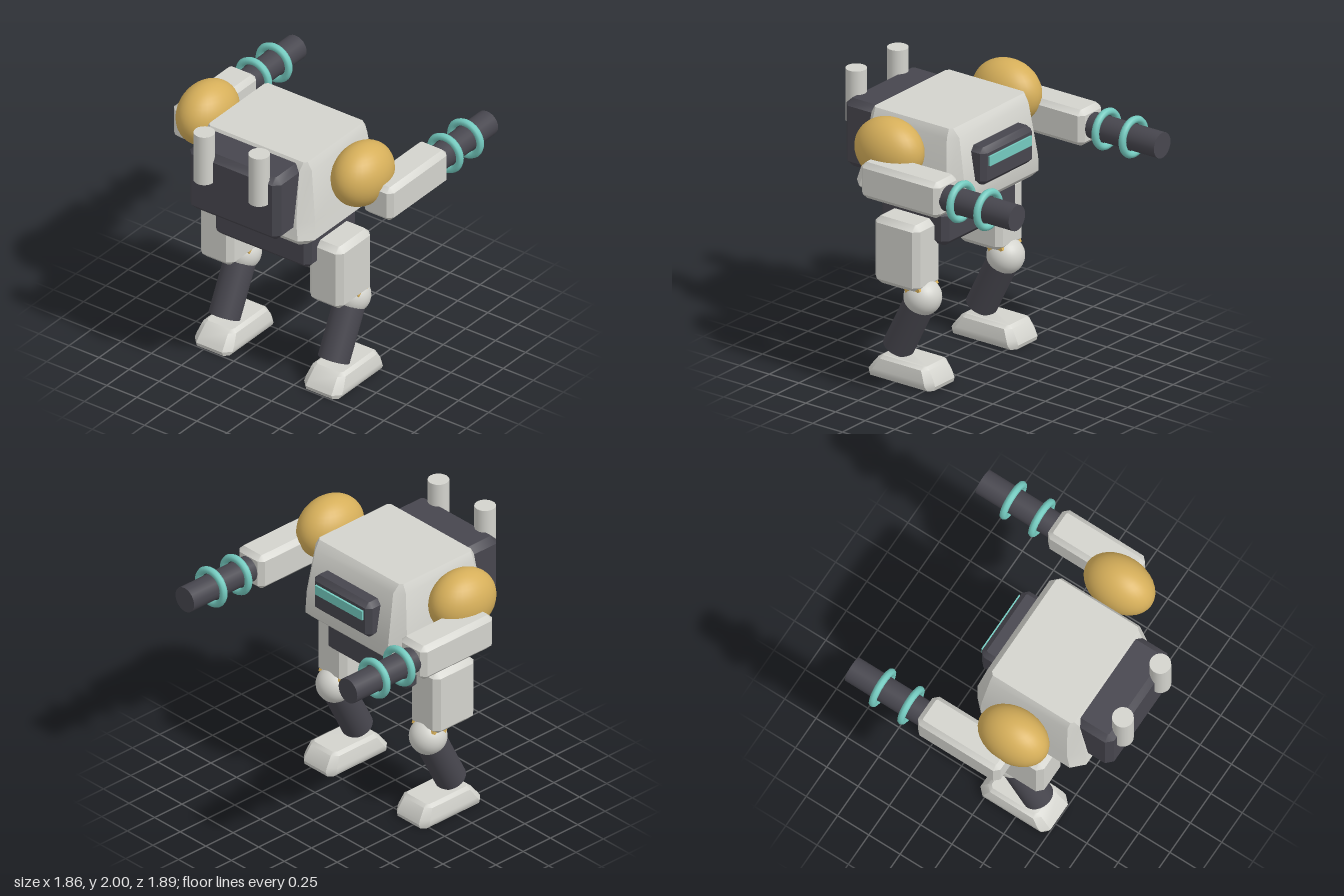
import * as THREE from 'three';
import { toCreasedNormals } from 'three/addons/utils/BufferGeometryUtils.js';

const mat = (name, color) => {
  const m = new THREE.MeshStandardMaterial({ color });
  m.name = name;
  return m;
};

// Stack of eight-sided sections: [y, x0, x1, z0, z1, cornerX, cornerZ]
function loft(rings) {
  const pos = [], idx = [];
  for (const [y, a, b, c, d, kx, kz] of rings) {
    pos.push(b, y, d - kz, b, y, c + kz, b - kx, y, c, a + kx, y, c,
      a, y, c + kz, a, y, d - kz, a + kx, y, d, b - kx, y, d);
  }
  const last = (rings.length - 1) * 8;
  for (let r = 0; r < last; r += 8) {
    for (let i = 0; i < 8; i++) {
      const j = (i + 1) % 8;
      idx.push(r + i, r + j, r + 8 + j, r + i, r + 8 + j, r + 8 + i);
    }
  }
  for (let i = 1; i < 7; i++) {
    idx.push(0, i + 1, i, last, last + i, last + i + 1);
  }
  const g = new THREE.BufferGeometry();
  g.setAttribute('position', new THREE.Float32BufferAttribute(pos, 3));
  g.setIndex(idx);
  g.computeVertexNormals();
  return toCreasedNormals(g, 0.6);
}

// Box with every edge cut by k
function chamferBox(x0, x1, y0, y1, z0, z1, k) {
  const full = [x0, x1, z0, z1, k, k];
  const inset = [x0 + k, x1 - k, z0 + k, z1 - k, k / 4, k / 4];
  return loft([[y0, ...inset], [y0 + k, ...full], [y1 - k, ...full], [y1, ...inset]]);
}

export function createModel() {
  const light = mat('light armour', 0xd3d3cd);
  const dark = mat('dark metal', 0x47464e);
  const gold = mat('gold', 0xd6af5a);
  const teal = mat('teal', 0x74cbc0);

  const root = new THREE.Group();
  root.name = 'walkerRobot';
  const add = (parent, name, geo, material, x = 0, y = 0, z = 0) => {
    const m = new THREE.Mesh(geo, material);
    m.name = name;
    m.position.set(x, y, z);
    parent.add(m);
    return m;
  };

  // Tapered torso
  add(root, 'torso', loft([
    [1.25, -0.66, 0.12, -0.45, 0.45, 0.04, 0.04],
    [1.30, -0.70, 0.17, -0.51, 0.51, 0.08, 0.08],
    [1.42, -0.675, 0.19, -0.49, 0.49, 0.09, 0.09],
    [1.79, -0.615, 0.125, -0.44, 0.44, 0.06, 0.06],
    [1.85, -0.58, 0.08, -0.41, 0.41, 0.02, 0.02],
  ]), light);

  // Pelvis, backpack and visor
  add(root, 'pelvis', chamferBox(-0.54, 0.025, 0.97, 1.23, -0.4, 0.4, 0.04), dark);
  add(root, 'backpack', chamferBox(-0.86, -0.54, 1.34, 1.83, -0.38, 0.38, 0.045), dark);
  add(root, 'visorHousing', chamferBox(0.08, 0.255, 1.43, 1.7, -0.28, 0.28, 0.035), dark);
  add(root, 'visorStrip', new THREE.BoxGeometry(0.04, 0.07, 0.46), teal, 0.25, 1.607, 0);

  for (const s of [1, -1]) {
    const side = s > 0 ? 'left' : 'right';

    // Exhaust stack
    add(root, side + 'Exhaust', new THREE.CylinderGeometry(0.073, 0.073, 0.375, 24),
      light, -0.86, 1.8125, s * 0.228);

    // Shoulder, forearm and ringed barrel
    const arm = new THREE.Group();
    arm.name = side + 'Arm';
    root.add(arm);
    add(arm, 'shoulder', new THREE.SphereGeometry(1, 32, 20), gold, -0.26, 1.7, s * 0.645)
      .scale.set(0.26, 0.223, 0.187);
    add(arm, 'forearm', chamferBox(-0.31, 0.35, -0.13, 0.13, -0.123, 0.123, 0.035),
      light, 0, 1.553, s * 0.793);
    add(arm, 'barrel', new THREE.CylinderGeometry(0.091, 0.091, 0.63, 24),
      dark, 0.615, 1.552, s * 0.797).rotation.z = Math.PI / 2;
    for (const x of [0.46, 0.688]) {
      add(arm, 'barrelRing', new THREE.TorusGeometry(0.122, 0.026, 8, 32),
        teal, x, 1.552, s * 0.797).rotation.y = Math.PI / 2;
    }

    // Leg, with the shin sloping back to the foot
    const leg = new THREE.Group();
    leg.name = side + 'Leg';
    leg.position.z = s * 0.455;
    root.add(leg);
    add(leg, 'thigh', chamferBox(-0.445, -0.07, 0.67, 1.155, -0.14, 0.14, 0.04), light);
    add(leg, 'kneePad', new THREE.BoxGeometry(0.12, 0.06, 0.21), gold, -0.138, 0.68, 0)
      .rotation.z = 0.5;
    add(leg, 'knee', new THREE.SphereGeometry(0.13, 32, 20), light, -0.125, 0.605, 0);
    add(leg, 'shin', new THREE.CylinderGeometry(0.11, 0.11, 0.44, 24),
      dark, -0.232, 0.391, 0).rotation.z = -0.464;
    add(leg, 'foot', loft([
      [0, -0.49, 0.05, -0.14, 0.14, 0.03, 0.03],
      [0.03, -0.5, 0.06, -0.157, 0.157, 0.05, 0.05],
      [0.06, -0.48, 0.05, -0.155, 0.155, 0.05, 0.05],
      [0.135, -0.42, 0.005, -0.137, 0.137, 0.04, 0.04],
      [0.155, -0.39, -0.02, -0.11, 0.11, 0.02, 0.02],
    ]), light);
  }
  return root;
}
